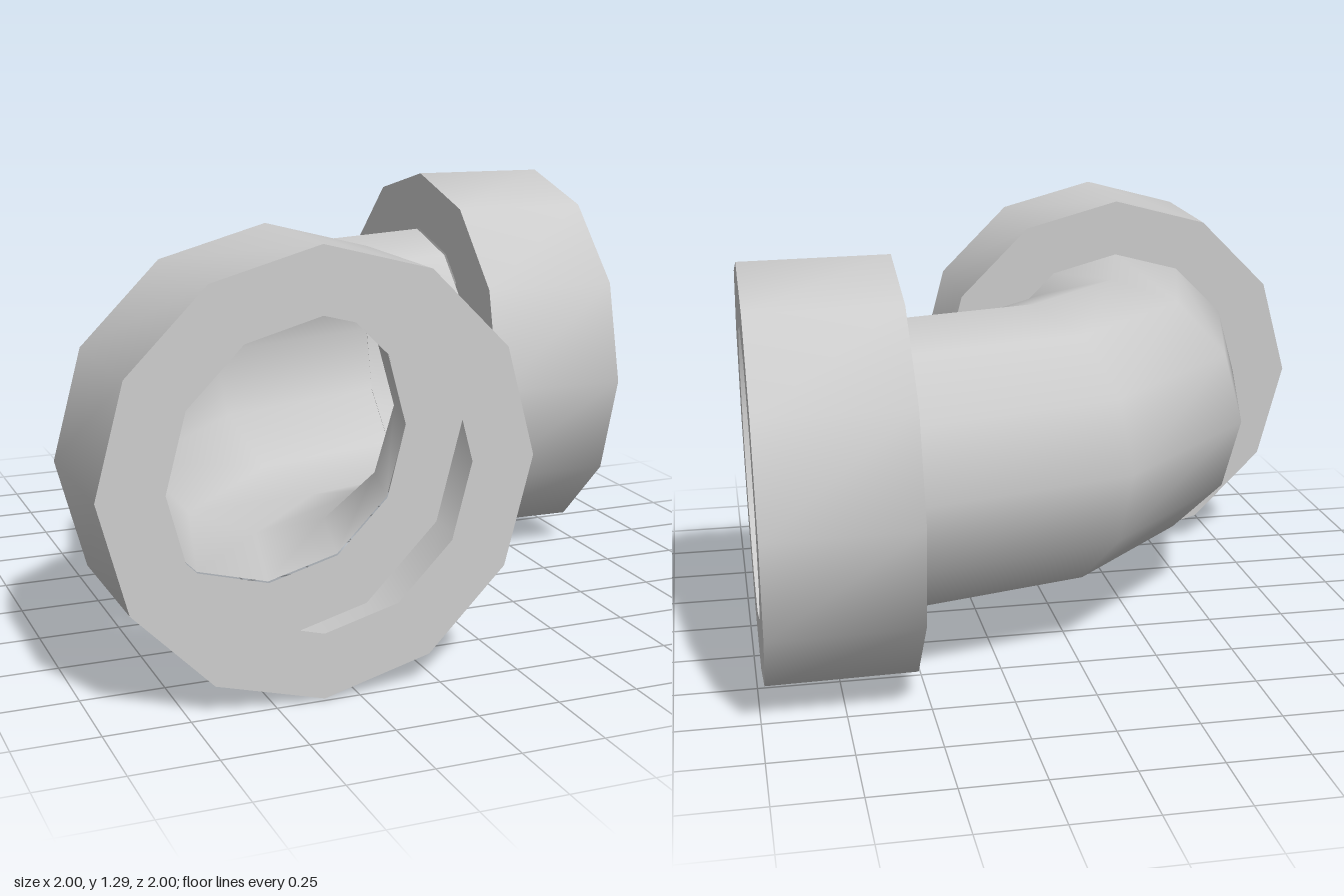
import * as THREE from 'three';
import { toCreasedNormals } from 'three/addons/utils/BufferGeometryUtils.js';

const SIDES = 12;
const BORE = 0.45;      // pipe radius
const COLLAR = 0.643;   // collar radius
const LENGTH = 0.454;   // collar length
const BEND = 0.893;     // radius of the bend
const AXIS_Y = 0.645;
const OFFSET = 0.357;   // distance of each pipe axis from the centre
const MID = 0.764;      // collar centre along its axis
const TILT = 0.0135;    // slight lean of the collars

export function createModel() {
  const model = new THREE.Group();
  model.name = 'pipeElbow';
  const material = new THREE.MeshStandardMaterial({ color: 0xcccccc, side: THREE.DoubleSide });

  // Quarter bend in three straight segments, open at both ends
  const bend = new THREE.TorusGeometry(BEND, BORE, SIDES, 3, Math.PI / 2);
  bend.rotateZ(Math.PI / 2);
  bend.rotateX(-Math.PI / 2);
  bend.translate(BEND - OFFSET, AXIS_Y, BEND - OFFSET);
  const pipe = new THREE.Mesh(bend, material);
  pipe.name = 'elbowPipe';
  model.add(pipe);

  // Hollow collar: back ring, outer wall and front ring
  const h = LENGTH / 2;
  const profile = [[BORE, -h], [COLLAR, -h], [COLLAR, h], [BORE, h]]
    .map(([r, y]) => new THREE.Vector2(r, y));
  const collarGeometry = toCreasedNormals(new THREE.LatheGeometry(profile, SIDES), Math.PI / 4);

  const addCollar = (name, x, z, rx, rz) => {
    const collar = new THREE.Mesh(collarGeometry, material);
    collar.name = name;
    collar.position.set(x, AXIS_Y, z);
    collar.rotation.set(rx, 0, rz);
    model.add(collar);
  };
  addCollar('frontCollar', -OFFSET, MID, Math.PI / 2 - TILT, 0);
  addCollar('leftCollar', MID, -OFFSET, 0, -Math.PI / 2 - TILT);

  return model;
}
